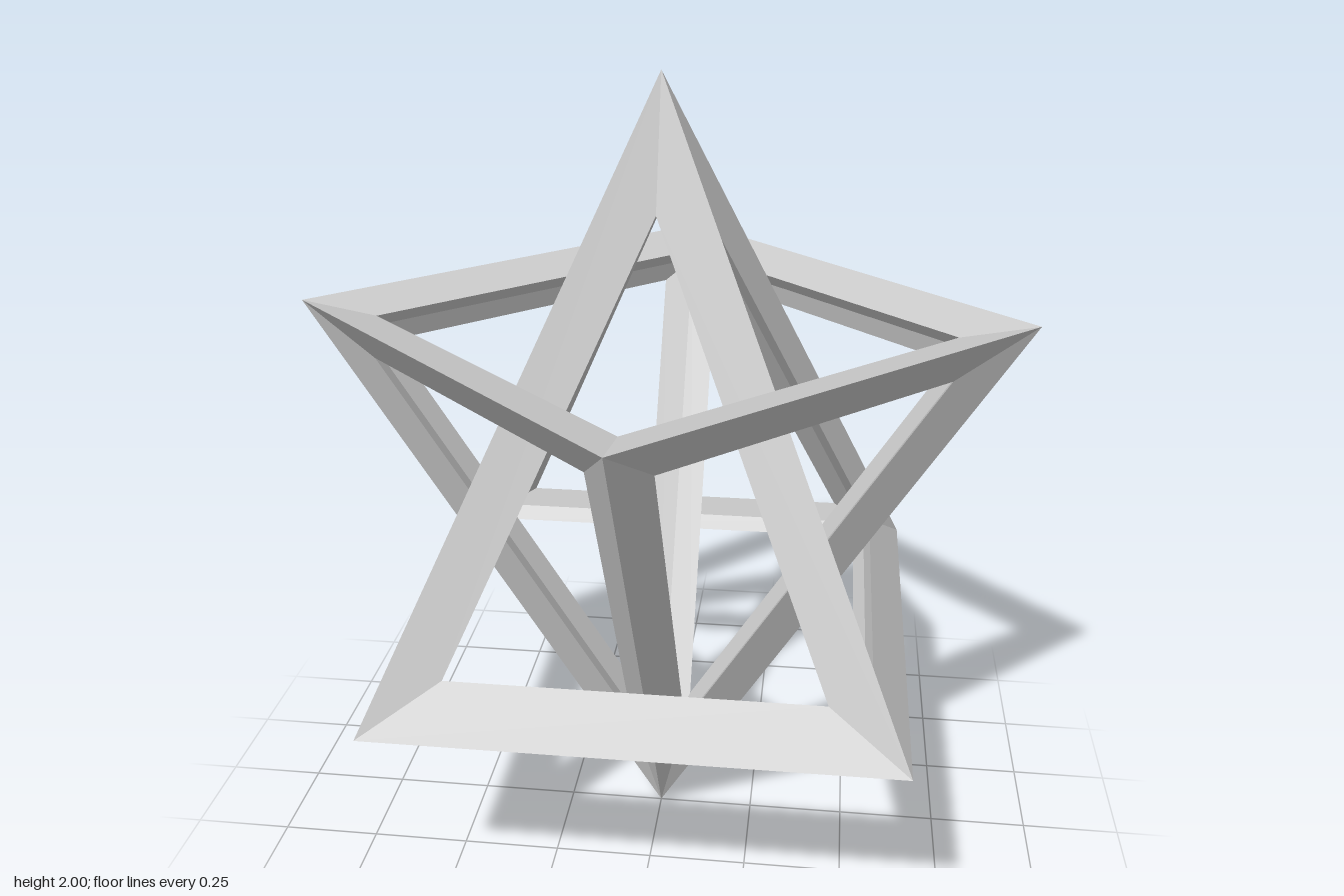
import * as THREE from 'three';

const H = 1.425, HALF = 0.637;          // outer pyramid height and half base width
const DEPTH = 0.034;                    // half thickness of the struts
const SIDE_INSET = 0.094, BASE_INSET = 0.081;

const material = new THREE.MeshStandardMaterial({ color: 0xcccccc, flatShading: true });

// Pyramid corners with every face moved inward by d: four base corners, then the apex
function corners(d) {
  const slant = Math.hypot(H, HALF);
  const half = HALF - d * (slant + HALF) / H;
  const base = [[1, 1], [1, -1], [-1, -1], [-1, 1]]
    .map(([x, z]) => new THREE.Vector3(x * half, d, z * half));
  return [...base, new THREE.Vector3(0, H - d * slant / HALF, 0)];
}

// Move the sides of a polygon inward by w
function insetPolygon(points, w) {
  const n = points.length;
  return points.map((p, i) => {
    const a = points[(i + 1) % n].clone().sub(p).normalize();
    const b = points[(i + n - 1) % n].clone().sub(p).normalize();
    const sin = a.clone().cross(b).length();
    return a.add(b).multiplyScalar(w / sin).add(p);
  });
}

// Open pyramid frame: each face has an outer and an inner ring meeting at the opening
function pyramidFrame(name) {
  const outer = corners(0), middle = corners(DEPTH), inner = corners(2 * DEPTH);
  const faces = [[3, 2, 1, 0], [0, 1, 4], [1, 2, 4], [2, 3, 4], [3, 0, 4]];
  const pos = [];
  const quad = (a, b, c, d) => [a, b, c, a, c, d].forEach(v => pos.push(v.x, v.y, v.z));

  for (const face of faces) {
    const hole = insetPolygon(face.map(k => middle[k]), face.length === 4 ? BASE_INSET : SIDE_INSET);
    face.forEach((k, i) => {
      const j = (i + 1) % face.length, m = face[j];
      quad(outer[k], outer[m], hole[j], hole[i]);
      quad(inner[m], inner[k], hole[i], hole[j]);
    });
  }

  const geometry = new THREE.BufferGeometry();
  geometry.setAttribute('position', new THREE.Float32BufferAttribute(pos, 3));
  geometry.computeVertexNormals();
  const mesh = new THREE.Mesh(geometry, material);
  mesh.name = name;
  return mesh;
}

export function createModel() {
  const group = new THREE.Group();
  group.name = 'interlockedPyramids';

  const upright = pyramidFrame('uprightPyramidFrame');
  upright.position.y = 2 - H;

  // Upside down and turned by an eighth of a circle
  const inverted = pyramidFrame('invertedPyramidFrame');
  inverted.rotation.set(Math.PI, Math.PI / 4, 0);
  inverted.position.y = H + 0.003;

  group.add(upright, inverted);
  return group;
}
